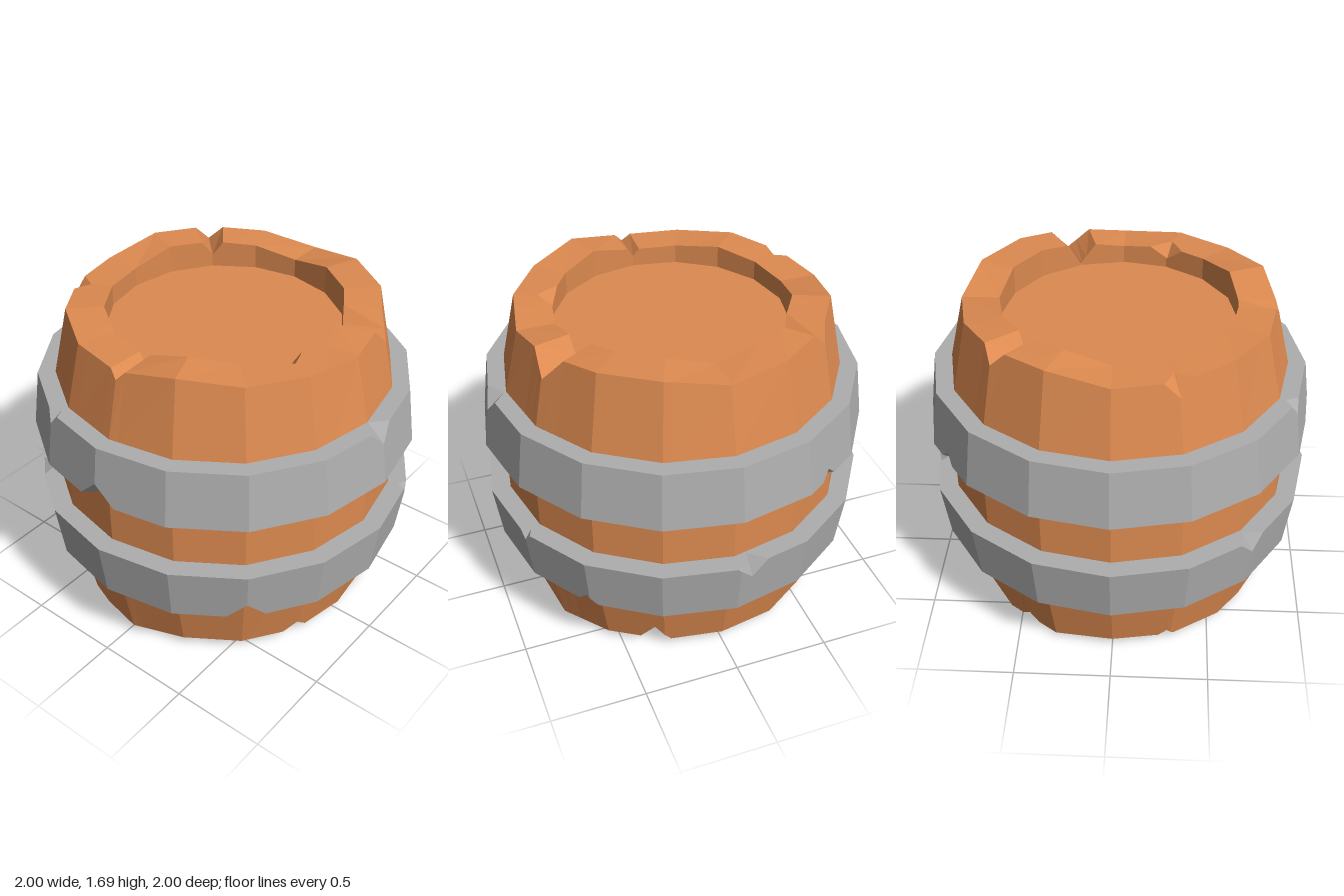
import * as THREE from 'three';

const SIDES = 16, STEP = Math.PI * 2 / SIDES, DEG = Math.PI / 180;

const wood = new THREE.MeshStandardMaterial({ color: 0xdd8a50, flatShading: true });
wood.name = 'wood';
const iron = new THREE.MeshStandardMaterial({ color: 0xaeaeae, flatShading: true });
iron.name = 'iron';

// Uneven rim heights, one per corner, starting at the front and turning towards +x
const TOP = [1.635, 1.69, 1.66, 1.66, 1.635, 1.67, 1.69, 1.69, 1.64, 1.67, 1.685, 1.69, 1.64, 1.645, 1.66, 1.64];
const BOTTOM = [0, 0.055, 0.055, 0.05, 0.055, 0, 0.04, 0.05, 0.06, 0.05, 0.04, 0.02, 0.05, 0.04, 0.035, 0.005];

// A chip is { at: degrees, half: half width in degrees, depth, edge }
const chip = (edge, at, half, depth) => ({ edge, at, half, depth });

function chipDepth(chips, edge, angle) {
  let d = 0;
  for (const c of chips) {
    if (c.edge !== edge) continue;
    const away = Math.abs(((angle / DEG - c.at + 540) % 360) - 180);
    d = Math.max(d, c.depth * Math.max(0, 1 - away / c.half));
  }
  return d;
}

function heightAt(list, angle) {
  const t = angle / STEP, i = Math.floor(t + 1e-6), f = t - i;
  return list[i % SIDES] * (1 - f) + list[(i + 1) % SIDES] * f;
}

// Corner angles of the barrel plus three angles for every chip
function chipAngles(chips) {
  const all = [];
  for (let i = 0; i < SIDES; i++) all.push(i * STEP);
  for (const c of chips)
    for (const k of [-1, 0, 1]) all.push(((c.at + k * c.half + 360) % 360) * DEG);
  all.sort((a, b) => a - b);
  return all.filter((a, i) => i === 0 || a - all[i - 1] > 1e-4);
}

// Sweep a profile of [radius, height] around a sixteen-sided polygon
function sweep(profile, chips, closed) {
  const columns = chipAngles(chips).map(angle => {
    const off = (angle + 1e-7) % STEP - STEP / 2;
    const flat = Math.cos(STEP / 2) / Math.cos(off);
    return profile(angle).map(([r, y]) =>
      new THREE.Vector3(r * flat * Math.sin(angle), y, r * flat * Math.cos(angle)));
  });
  const pos = [];
  const tri = (a, b, c) => {
    const area = b.clone().sub(a).cross(c.clone().sub(a)).length();
    if (area > 1e-7) for (const p of [a, b, c]) pos.push(p.x, p.y, p.z);
  };
  columns.forEach((a, j) => {
    const b = columns[(j + 1) % columns.length], n = a.length;
    for (let i = 0; i < (closed ? n : n - 1); i++) {
      const k = (i + 1) % n;
      tri(a[i], b[i], b[k]);
      tri(a[i], b[k], a[k]);
    }
  });
  const geo = new THREE.BufferGeometry();
  geo.setAttribute('position', new THREE.Float32BufferAttribute(pos, 3));
  geo.computeVertexNormals();
  return geo;
}

// Staves, rims and recessed lids in one skin
function barrelGeometry() {
  const chips = [
    chip('topCut', 0, 3.2, 0.04), chip('topCut', 113, 8, 0.12), chip('topCut', 225, 5.5, 0.08),
    chip('topOuter', 293, 5.5, 0.08), chip('topInner', 67, 9, 0.07),
    chip('bottomCut', 67, 5, 0.07), chip('bottomCut', 154, 6, 0.11), chip('bottomCut', 291, 3, 0.04),
    chip('bottomOuter', 337, 6, 0.08), chip('bottomOuter', 235, 4, 0.05), chip('bottomInner', 110, 6, 0.05),
  ];
  return sweep(angle => {
    const d = edge => chipDepth(chips, edge, angle);
    const t = heightAt(TOP, angle) - d('topCut'), b = heightAt(BOTTOM, angle) + d('bottomCut');
    const to = d('topOuter'), ti = d('topInner'), bo = d('bottomOuter'), bi = d('bottomInner');
    const rt = 0.79 + 0.23 * d('topCut'), rb = 0.79 + 0.23 * d('bottomCut');
    return [
      [0, 0.14], [0.6, 0.14],
      [0.6, b + bi], [0.6 + bi, b],
      [rb - bo, b], [rb + 0.23 * bo, b + bo],
      [0.87, 0.4], [0.9, 0.7], [0.9, 1.0], [0.87, 1.3],
      [rt + 0.23 * to, t - to], [rt - to, t],
      [0.6 + ti, t], [0.6, t - ti],
      [0.6, 1.54], [0, 1.54],
    ];
  }, chips, false);
}

// Tapered hoop with chipped outer edges
function hoopGeometry(y0, r0, y1, r1, chips) {
  return sweep(angle => {
    const lo = chipDepth(chips, 'bottom', angle), hi = chipDepth(chips, 'top', angle);
    const slope = (r1 - r0) / (y1 - y0);
    return [
      [0.85, y0], [r0 - lo, y0], [r0 + slope * lo, y0 + lo],
      [r1 - slope * hi, y1 - hi], [r1 - hi, y1], [0.85, y1],
    ];
  }, chips, true);
}

export function createModel() {
  const group = new THREE.Group();
  group.name = 'barrel';
  const add = (name, geo, material) => {
    const mesh = new THREE.Mesh(geo, material);
    mesh.name = name;
    group.add(mesh);
  };
  add('barrelBody', barrelGeometry(), wood);
  add('upperHoop', hoopGeometry(1.0, 1.0, 1.3, 0.96, [
    chip('bottom', 0, 6.2, 0.105), chip('bottom', 212, 3.2, 0.05),
    chip('top', 337.5, 3, 0.06), chip('top', 90, 4.8, 0.085),
  ]), iron);
  add('lowerHoop', hoopGeometry(0.4, 0.96, 0.7, 1.0, [
    chip('top', 315, 4.6, 0.08), chip('top', 184, 5, 0.09), chip('top', 112.5, 2.2, 0.045),
    chip('bottom', 45, 6, 0.1), chip('bottom', 134, 3.5, 0.06),
  ]), iron);
  return group;
}
